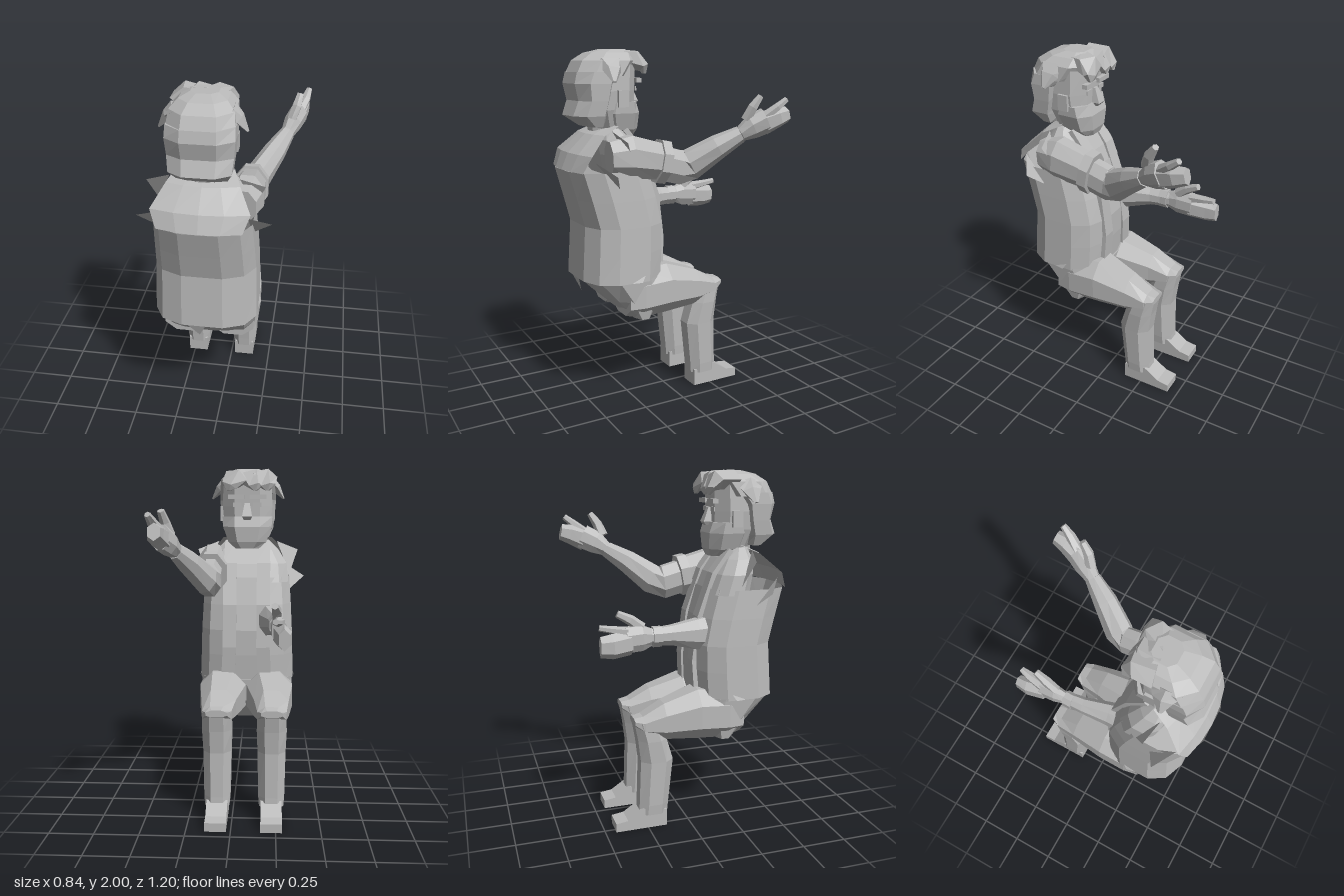
import * as THREE from 'three';

const CX = -0.07; // body centre line
const grey = new THREE.MeshStandardMaterial({ color: 0xbababa, flatShading: true, side: THREE.DoubleSide });
grey.name = 'plain grey';

// Skin rings of [x, y, z, width, depth] along a path. A fixed axis keeps the rings parallel,
// a roundness below 1 makes them boxier.
function loft(stations, { sides = 8, axis = null, roundness = 1, caps = true } = {}) {
  const pts = stations.map(s => new THREE.Vector3(s[0], s[1], s[2]));
  const pos = [], idx = [], n = stations.length;
  const bend = v => Math.sign(v) * Math.abs(v) ** roundness;
  const k = 0.5 / bend(Math.cos(Math.PI / sides));
  stations.forEach((st, i) => {
    const t = axis ? axis.clone()
      : pts[Math.min(i + 1, n - 1)].clone().sub(pts[Math.max(i - 1, 0)]).normalize();
    const s = new THREE.Vector3(1, 0, 0).addScaledVector(t, -t.x).normalize();
    const u = t.clone().cross(s);
    for (let j = 0; j < sides; j++) {
      const a = (j + 0.5) / sides * Math.PI * 2;
      const p = pts[i].clone().addScaledVector(s, bend(Math.cos(a)) * st[3] * k)
        .addScaledVector(u, bend(Math.sin(a)) * st[4] * k);
      pos.push(p.x, p.y, p.z);
    }
  });
  for (let i = 0; i < n - 1; i++) for (let j = 0; j < sides; j++) {
    const a = i * sides + j, b = i * sides + (j + 1) % sides;
    idx.push(a, b, b + sides, a, b + sides, a + sides);
  }
  const e = (n - 1) * sides;
  if (caps) for (let j = 1; j < sides - 1; j++) idx.push(0, j + 1, j, e, e + j, e + j + 1);
  const g = new THREE.BufferGeometry();
  g.setAttribute('position', new THREE.Float32BufferAttribute(pos, 3));
  g.setIndex(idx);
  const flat = g.toNonIndexed();
  flat.computeVertexNormals();
  return flat;
}

const UP = new THREE.Vector3(0, 1, 0), FWD = new THREE.Vector3(0, 0, -1);
// Upright form from rows of [y, front z, rear z, half width]
const upright = (rows, options = {}, x = CX) =>
  loft(rows.map(([y, f, b, w]) => [x, y, (f + b) / 2, w * 2, b - f]), { axis: UP, ...options });

export function createModel() {
  const root = new THREE.Group();
  root.name = 'seatedFigure';
  const add = (name, geo) => {
    const m = new THREE.Mesh(geo, grey);
    m.name = name;
    root.add(m);
    return m;
  };
  const box = (name, w, h, d, x, y, z) => add(name, new THREE.BoxGeometry(w, h, d)).position.set(x, y, z);
  const flap = (name, ...p) => {
    const g = new THREE.BufferGeometry();
    g.setAttribute('position', new THREE.Float32BufferAttribute(p.flat(), 3));
    g.computeVertexNormals();
    add(name, g);
  };

  // Torso, open below the shoulders at the back, with the chest inside it
  add('torso', upright([
    [0.74, 0.06, 0.53, 0.285], [0.9, 0.05, 0.52, 0.28], [1.05, 0.05, 0.51, 0.275], [1.2, 0.08, 0.55, 0.268],
    [1.36, 0.125, 0.595, 0.258]], { sides: 12, roundness: 0.7, caps: false }));
  add('chest', upright([[1.33, 0.12, 0.38, 0.25], [1.44, 0.165, 0.4, 0.24], [1.52, 0.22, 0.41, 0.19], [1.58, 0.28, 0.38, 0.13]],
    { sides: 12, roundness: 0.8 }));

  // Loose vest back, rising from the torso to the collar
  const rise = [[1.595, 0.35, 0.15], [1.55, 0.45, 0.19], [1.45, 0.555, 0.255], [1.36, 0.595, 0.22]];
  const yoke = new THREE.PlaneGeometry(2, 1, 4, 3), yp = yoke.attributes.position;
  for (let i = 0; i < yp.count; i++) {
    const [y, z, w] = rise[Math.floor(i / 5)], u = yp.getX(i);
    yp.setXYZ(i, CX + u * w, y, z - 0.035 * u * u);
  }
  add('vestBack', yoke);

  add('hips', upright([[0.5, 0.15, 0.26, 0.24], [0.62, 0.06, 0.39, 0.265], [0.75, 0.05, 0.52, 0.28]],
    { sides: 12, roundness: 0.7 }));
  add('neck', upright([[1.5, 0.26, 0.41, 0.085], [1.64, 0.25, 0.43, 0.085]]));
  flap('shirtTail', [CX - 0.09, 0.74, 0.52], [CX + 0.02, 0.74, 0.52], [CX - 0.02, 0.65, 0.49]);

  for (const s of [-1, 1]) {
    const X = d => CX + s * d;
    // Vest edge and torn armholes
    add('vestEdge', loft([[X(0.1), 1.57, 0.265, 0.07, 0.03], [X(0.1), 1.44, 0.165, 0.08, 0.03],
      [X(0.1), 1.2, 0.08, 0.08, 0.03], [X(0.1), 0.95, 0.05, 0.08, 0.03], [X(0.11), 0.76, 0.06, 0.08, 0.03]], { sides: 4 }));
    flap('armholeFlap', [X(0.24), 1.42, 0.5], [X(0.25), 1.26, 0.36], [X(0.355), 1.35, 0.42]);
    flap('shoulderFlap', [X(0.18), 1.57, 0.37], [X(0.31), 1.52, 0.34], [X(0.26), 1.38, 0.28]);
    flap('vestHem', [X(0.27), 0.82, 0.2], [X(0.295), 0.74, 0.25], [X(0.27), 0.74, 0.4]);

    // Legs
    const L = X(0.155);
    add('thigh', loft([[X(0.14), 0.62, 0.31, 0.24, 0.19], [X(0.14), 0.645, 0.22, 0.275, 0.29],
      [X(0.14), 0.655, 0.05, 0.275, 0.29], [X(0.152), 0.63, -0.15, 0.2, 0.21],
      [L, 0.62, -0.27, 0.165, 0.1], [L, 0.64, -0.32, 0.12, 0.04]], { axis: FWD, roundness: 0.9 }));
    add('shin', upright([[0.08, -0.3, -0.13, 0.07], [0.14, -0.295, -0.125, 0.075], [0.4, -0.285, -0.097, 0.08],
      [0.53, -0.3, -0.135, 0.085], [0.64, -0.32, -0.18, 0.08]], { roundness: 0.85 }, L));
    const sole = new THREE.Shape([[0.14, 0], [0.44, 0], [0.44, 0.05], [0.37, 0.06], [0.28, 0.12], [0.14, 0.1]]
      .map(p => new THREE.Vector2(...p)));
    const shoe = add('shoe', new THREE.ExtrudeGeometry(sole, { depth: 0.12, bevelEnabled: false }));
    shoe.rotation.y = Math.PI / 2;
    shoe.position.x = L - 0.06;

    // Hair and face details at the sides
    add('hairTip', loft([[X(0.13), 1.92, 0.36, 0.08, 0.14], [X(0.175), 1.89, 0.36, 0.05, 0.09],
      [X(0.22), 1.83, 0.37, 0.01, 0.02]], { sides: 5 }));
    box('ear', 0.03, 0.09, 0.06, X(0.15), 1.74, 0.29);
    box('eye', 0.05, 0.025, 0.008, X(0.06), 1.79, 0.18);
    box('eyebrow', 0.1, 0.025, 0.03, X(0.065), 1.835, 0.175);
  }

  // Head, beard and nose
  const boxy = { roundness: 0.75 };
  add('head', upright([[1.58, 0.19, 0.4, 0.11], [1.68, 0.185, 0.44, 0.14], [1.78, 0.185, 0.45, 0.15], [1.93, 0.18, 0.44, 0.145]], boxy));
  add('beard', upright([[1.53, 0.175, 0.27, 0.07], [1.57, 0.16, 0.36, 0.115], [1.66, 0.155, 0.39, 0.146], [1.72, 0.175, 0.37, 0.15]], boxy));
  add('nose', loft([[CX, 1.8, 0.185, 0.03, 0.03], [CX, 1.72, 0.168, 0.06, 0.06], [CX, 1.7, 0.175, 0.04, 0.04]], { sides: 4, axis: UP }));

  // Hair
  add('rearHair', upright([[1.59, 0.38, 0.46, 0.13], [1.65, 0.35, 0.55, 0.157], [1.73, 0.335, 0.52, 0.166],
    [1.82, 0.31, 0.54, 0.173], [1.88, 0.26, 0.525, 0.17]], boxy));
  add('hairCap', upright([[1.86, 0.23, 0.53, 0.17], [1.94, 0.17, 0.49, 0.16], [1.98, 0.18, 0.43, 0.12], [2.0, 0.22, 0.35, 0.07]], boxy));
  for (const [a, b, c] of [[-0.08, -0.1, -0.12], [0.02, 0.07, 0.11], [-0.03, -0.03, -0.05]])
    add('fringeLock', loft([[CX + a, 1.95, 0.28, 0.16, 0.09], [CX + b, 1.945, 0.175, 0.13, 0.09],
      [CX + c, 1.9, 0.14, 0.08, 0.04], [CX + c, 1.87, 0.14, 0.02, 0.02]], { sides: 5 }));

  // Raised arm
  const finger = { sides: 6 };
  add('leftSleeve', loft([[0.13, 1.43, 0.4, 0.14, 0.18], [0.14, 1.435, 0.29, 0.18, 0.23], [0.14, 1.4, 0.11, 0.16, 0.2]]));
  add('leftCuff', loft([[0.14, 1.4, 0.12, 0.185, 0.235], [0.14, 1.39, 0.065, 0.185, 0.235]]));
  add('leftArm', loft([[0.14, 1.4, 0.14, 0.13, 0.19], [0.14, 1.355, -0.03, 0.13, 0.19], [0.16, 1.37, -0.09, 0.14, 0.17],
    [0.24, 1.47, -0.22, 0.12, 0.13], [0.3, 1.54, -0.33, 0.08, 0.09]]));
  add('leftPalm', loft([[0.3, 1.54, -0.33, 0.075, 0.08], [0.325, 1.58, -0.39, 0.1, 0.13], [0.355, 1.615, -0.46, 0.1, 0.14]]));
  add('leftThumb', loft([[0.32, 1.62, -0.35, 0.05, 0.06], [0.345, 1.69, -0.375, 0.05, 0.05], [0.36, 1.75, -0.415, 0.035, 0.03]], finger));
  add('leftForefinger', loft([[0.36, 1.64, -0.45, 0.06, 0.05], [0.39, 1.69, -0.51, 0.05, 0.04], [0.405, 1.73, -0.56, 0.03, 0.03]], finger));
  add('leftFingers', loft([[0.35, 1.6, -0.45, 0.09, 0.12], [0.37, 1.63, -0.53, 0.085, 0.1], [0.37, 1.645, -0.59, 0.065, 0.08]], finger));

  // Lowered arm
  add('rightForearm', loft([[-0.2, 1.11, 0.12, 0.14, 0.19], [-0.21, 1.11, 0.05, 0.12, 0.17],
    [-0.24, 1.12, -0.1, 0.085, 0.11], [-0.25, 1.12, -0.22, 0.07, 0.09]]));
  add('wristband', loft([[-0.25, 1.12, -0.16, 0.085, 0.11], [-0.25, 1.12, -0.21, 0.085, 0.11]]));
  add('rightPalm', loft([[-0.25, 1.12, -0.21, 0.06, 0.09], [-0.255, 1.12, -0.27, 0.08, 0.14], [-0.26, 1.115, -0.36, 0.08, 0.14]]));
  add('rightThumb', loft([[-0.25, 1.17, -0.27, 0.05, 0.06], [-0.245, 1.22, -0.33, 0.05, 0.05], [-0.235, 1.255, -0.4, 0.035, 0.035]], finger));
  add('rightForefinger', loft([[-0.26, 1.16, -0.35, 0.06, 0.05], [-0.25, 1.175, -0.44, 0.05, 0.035], [-0.24, 1.185, -0.5, 0.03, 0.03]], finger));
  add('rightFingers', loft([[-0.265, 1.1, -0.34, 0.08, 0.12], [-0.285, 1.09, -0.44, 0.08, 0.12], [-0.285, 1.09, -0.505, 0.06, 0.1]], finger));

  return root;
}
